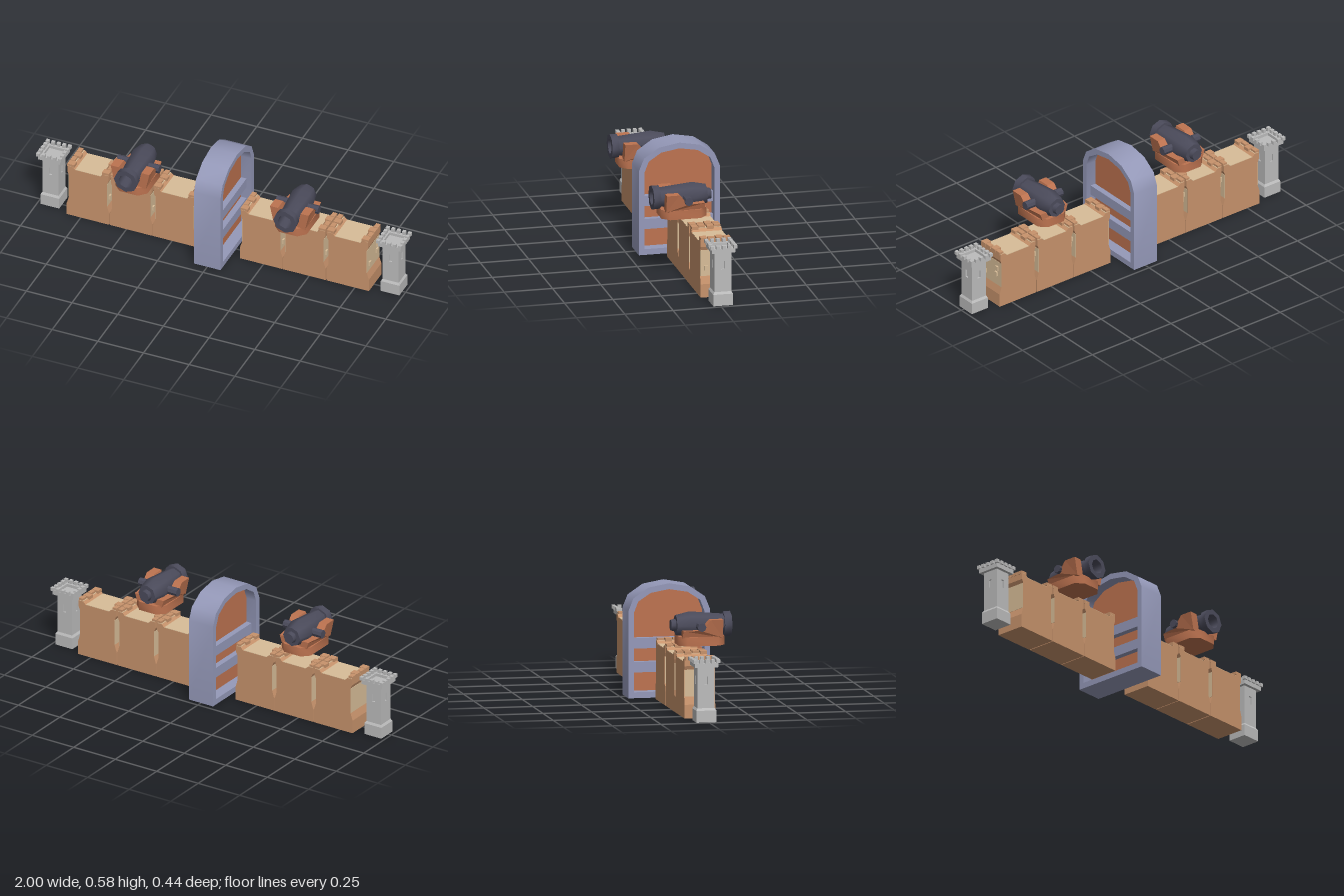
import * as THREE from 'three';
import { toCreasedNormals } from 'three/addons/utils/BufferGeometryUtils.js';

const mat = (name, color) => {
  const m = new THREE.MeshStandardMaterial({ color });
  m.name = name;
  return m;
};

const poly = (pts) => new THREE.Shape(pts.map(([x, y]) => new THREE.Vector2(x, y)));

// Prism of a shape, centred on its own depth
function prism(shape, depth) {
  const g = new THREE.ExtrudeGeometry(shape, { depth, bevelEnabled: false });
  return g.translate(0, 0, -depth / 2);
}

// Prism of a (z, y) outline running along x
const sidePrism = (shape, depth) => prism(shape, depth).rotateY(-Math.PI / 2);

export function createModel() {
  const clay = mat('clay wall', 0xc8936c);
  const sand = mat('sand', 0xd8bd98);
  const wood = mat('red wood', 0xbd7350);
  const frameBlue = mat('blue stone', 0x9599b9);
  const stone = mat('grey stone', 0xbcbcbc);
  const iron = mat('dark iron', 0x4b4b5b);

  const add = (parent, name, geo, material, x = 0, y = 0, z = 0) => {
    const m = new THREE.Mesh(geo, material);
    m.name = name;
    m.position.set(x, y, z);
    parent.add(m);
    return m;
  };
  const box = (parent, name, material, w, h, d, x, y, z) =>
    add(parent, name, new THREE.BoxGeometry(w, h, d), material, x, y, z);
  const group = (name, parent, x = 0, z = 0) => {
    const g = new THREE.Group();
    g.name = name;
    g.position.set(x, 0, z);
    parent.add(g);
    return g;
  };

  const model = new THREE.Group();
  model.name = 'castleSet';

  // Arched gate: frame with opening, door panel and two cross bars
  const gate = group('gate', model, 0, -0.012);
  const arch = (half, bottom, knees) => {
    const right = [[half, bottom], ...knees];
    const left = right.slice(0, -1).reverse().map(([x, y]) => [-x, y]);
    return poly([...right, ...left]);
  };
  const outer = arch(0.21, 0, [[0.21, 0.441], [0.183, 0.507], [0.106, 0.559], [0, 0.578]]);
  const knees = [[0.181, 0.432], [0.159, 0.489], [0.094, 0.532], [0, 0.548]];
  outer.holes.push(arch(0.181, 0.03, knees));
  add(gate, 'gateFrame', toCreasedNormals(sidePrism(outer, 0.145), 0.7), frameBlue);
  add(gate, 'gateDoor', sidePrism(arch(0.181, 0.03, knees), 0.03), wood);
  for (const y of [0.153, 0.274]) box(gate, 'gateBar', frameBlue, 0.09, 0.053, 0.362, 0, y, 0);

  // Wall segments: waisted body, sand faces, crenel bricks
  const halfWall = [[0.116, 0], [0.116, 0.07], [0.104, 0.11], [0.104, 0.246], [0.112, 0.265],
    [0.112, 0.3], [0.085, 0.3], [0.07, 0.285]];
  const wallGeo = prism(poly([...halfWall, ...halfWall.slice().reverse().map(([x, y]) => [-x, y])]), 0.157);
  function makeWall(x) {
    const wall = group('wallSegment', model, x, -0.0135);
    add(wall, 'wallBody', wallGeo, clay);
    box(wall, 'wallWalk', sand, 0.14, 0.004, 0.155, 0, 0.285, 0);
    for (const s of [-1, 1]) {
      box(wall, 'recessFace', sand, 0.004, 0.136, 0.156, s * 0.1035, 0.178, 0);
      box(wall, 'ledgeTop', sand, 0.026, 0.003, 0.154, s * 0.098, 0.3, 0);
      [0.06, 0.022, -0.02, -0.058].forEach((z, i) => {
        const w = i % 2 ? 0.024 : 0.038;
        box(wall, 'crenelBrick', clay, w, 0.017, 0.034, s * (0.114 - w / 2), 0.304, z);
      });
    }
    // Loose bricks standing out of the left face
    for (const [y, z] of [[0.153, 0.05], [0.174, -0.04], [0.208, -0.047]])
      box(wall, 'faceBrick', sand, 0.014, 0.024, 0.018, 0.107, y, z);
  }

  // Corner tower: plinth, shaft with recessed windows, hollow crown with merlons
  const square = (h) => poly([[-h, -h], [h, -h], [h, h], [-h, h]]);
  const panel = poly([[-0.044, 0.06], [0.044, 0.06], [0.044, 0.281], [-0.044, 0.281]]);
  panel.holes.push(poly([[-0.009, 0.19], [-0.009, 0.232], [0.009, 0.232], [0.009, 0.19]]));
  const panelGeo = prism(panel, 0.008).translate(0, 0, 0.04);
  const crown = square(0.061);
  crown.holes.push(square(0.043));
  const crownGeo = prism(crown, 0.022).rotateX(Math.PI / 2);
  const taper = new THREE.CylinderGeometry(0.044 * Math.SQRT2, 0.051 * Math.SQRT2, 0.012, 4)
    .toNonIndexed().rotateY(Math.PI / 4);
  taper.computeVertexNormals();
  function makeTower(x) {
    const tower = group('tower', model, x, -0.013);
    box(tower, 'plinth', stone, 0.102, 0.06, 0.102, 0, 0.03, 0);
    add(tower, 'plinthSlope', taper, stone, 0, 0.066, 0);
    box(tower, 'towerCore', stone, 0.072, 0.22, 0.072, 0, 0.17, 0);
    add(tower, 'crownWall', crownGeo, stone, 0, 0.291, 0);
    box(tower, 'crownFloor', stone, 0.12, 0.006, 0.12, 0, 0.2835, 0);
    for (let k = 0; k < 4; k++) add(tower, 'windowWall', panelGeo, stone).rotation.y = k * Math.PI / 2;
    for (let i = -2; i <= 2; i++) for (let j = -2; j <= 2; j++)
      if (Math.max(Math.abs(i), Math.abs(j)) === 2)
        box(tower, 'merlon', stone, 0.018, 0.018, 0.018, i * 0.03, 0.311, j * 0.03);
  }

  // Cannon: eight-sided barrel with bore, trunnions and a stepped carriage
  const barrelProfile = [[0, -0.082], [0.028, -0.082], [0.031, -0.057], [0.051, -0.057], [0.067, 0.014],
    [0.051, 0.186], [0.062, 0.186], [0.064, 0.223], [0.038, 0.223], [0.034, 0.13], [0, 0.13]];
  const barrelGeo = toCreasedNormals(
    new THREE.LatheGeometry(barrelProfile.map(([r, y]) => new THREE.Vector2(r, y)), 8).rotateX(Math.PI / 2), 0.85);
  const trunnionGeo = toCreasedNormals(new THREE.CylinderGeometry(0.022, 0.022, 0.23, 8).rotateZ(Math.PI / 2), 0.5);
  const baseGeo = toCreasedNormals(prism(poly([[-0.087, -0.08], [-0.05, -0.117], [0.05, -0.117], [0.087, -0.08],
    [0.087, 0.08], [0.05, 0.117], [-0.05, 0.117], [-0.087, 0.08]]), 0.046).rotateX(Math.PI / 2), 0.85);
  const cheekGeo = sidePrism(poly([[0.168, 0.36], [0.168, 0.453], [0.102, 0.453], [0.078, 0.425],
    [0.056, 0.398], [-0.034, 0.398], [-0.034, 0.36]]), 0.044);
  // Lean the cheek outward with height and taper it to the rear
  const cp = cheekGeo.attributes.position;
  for (let i = 0; i < cp.count; i++) {
    const rise = Math.min((cp.getY(i) - 0.36) / 0.06, 1);
    const rear = cp.getZ(i) < 0 ? 0.012 : 0;
    cp.setX(i, cp.getX(i) + 0.064 + 0.02 * rise - rear);
  }
  cheekGeo.computeVertexNormals();
  function makeCannon(x) {
    const cannon = group('cannon', model, x);
    add(cannon, 'barrel', barrelGeo, iron, 0, 0.419, 0);
    add(cannon, 'trunnions', trunnionGeo, iron, 0, 0.418, 0.056);
    add(cannon, 'carriageBase', baseGeo, wood, 0, 0.343, 0.067);
    add(cannon, 'carriageCheek', cheekGeo, wood);
    // Turn the cheek outline over for the opposite side
    const mirrored = cheekGeo.clone().scale(-1, 1, 1);
    const a = mirrored.attributes.position;
    for (let i = 0; i < a.count; i += 3) {
      const p = new THREE.Vector3().fromBufferAttribute(a, i + 1);
      a.setXYZ(i + 1, a.getX(i + 2), a.getY(i + 2), a.getZ(i + 2));
      a.setXYZ(i + 2, p.x, p.y, p.z);
    }
    mirrored.computeVertexNormals();
    add(cannon, 'carriageCheek', mirrored, wood);
    box(cannon, 'carriageBed', wood, 0.12, 0.02, 0.19, 0, 0.37, 0.067);
  }

  for (const s of [-1, 1]) {
    for (const x of [0.238, 0.474, 0.711]) makeWall(s * x);
    makeTower(s * 0.931);
    makeCannon(s * 0.436);
  }
  return model;
}
